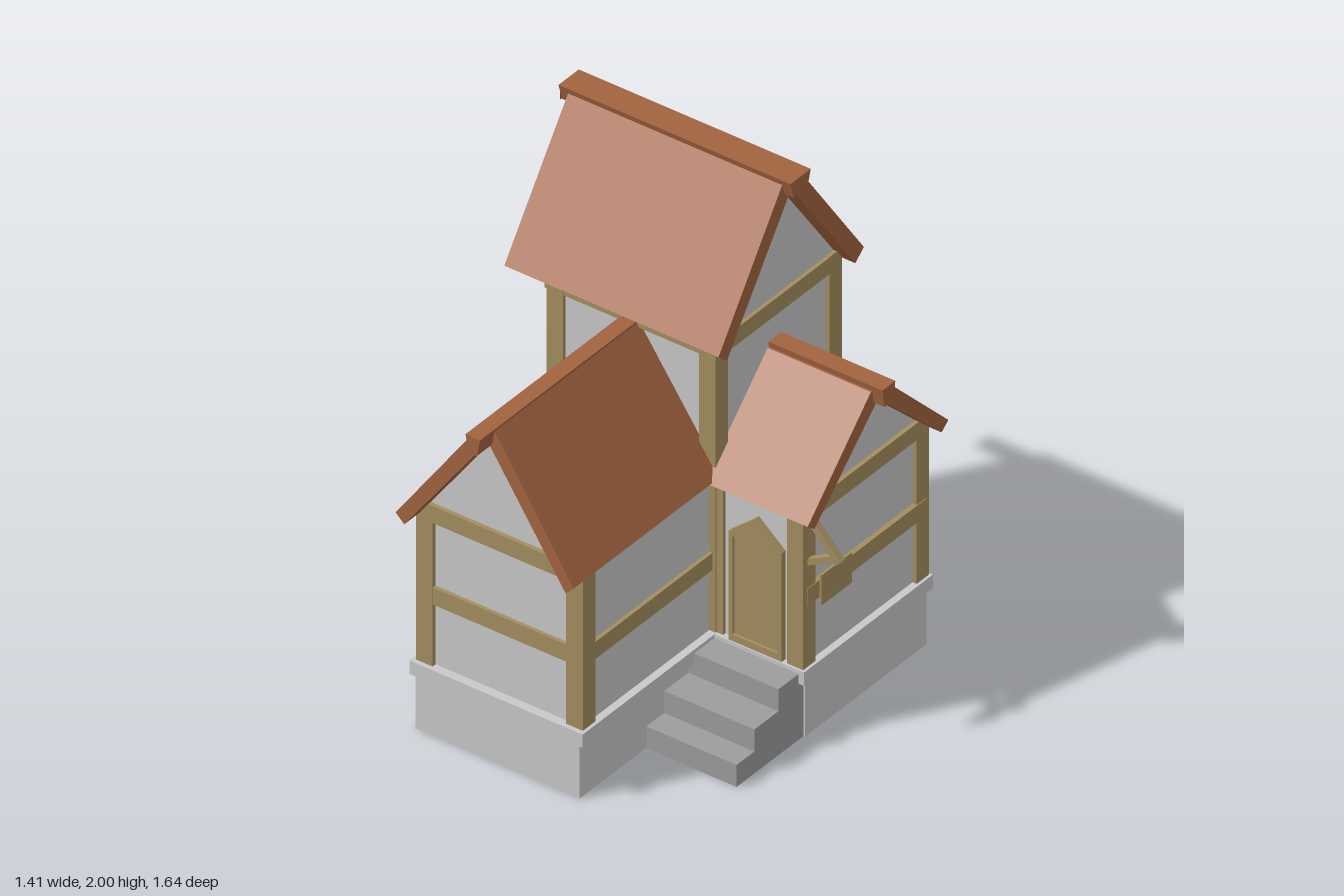
import * as THREE from 'three';

const mat = (name, color, side = THREE.FrontSide) => {
  const m = new THREE.MeshStandardMaterial({ color, side });
  m.name = name;
  return m;
};

export function createModel() {
  const house = new THREE.Group();
  house.name = 'house';
  const plaster = mat('pale plaster and stone', 0xc8c8c8);
  const stone = mat('grey step stone', 0x9c9c9c, THREE.DoubleSide);
  const wood = mat('oak timber', 0xa28d5f);
  const tile = mat('clay roof', 0xa2633e);

  const add = (name, geo, m) => {
    const mesh = new THREE.Mesh(geo, m);
    mesh.name = name;
    house.add(mesh);
    return mesh;
  };
  const box = (name, m, x0, x1, y0, y1, z0, z1) =>
    add(name, new THREE.BoxGeometry(x1 - x0, y1 - y0, z1 - z0)
      .translate((x0 + x1) / 2, (y0 + y1) / 2, (z0 + z1) / 2), m);
  const vecs = pts => pts.map(p => new THREE.Vector2(...p));
  const shapeOf = pts => new THREE.Shape(vecs(pts));
  const extrude = (shape, depth) =>
    new THREE.ExtrudeGeometry(shape, { depth, bevelEnabled: false });

  // Mirrors a half profile [u, y] about u = 0 and runs it along x or z
  const gabled = (name, m, half, axis, centre, from, to) => {
    const other = half.filter(p => p[0] > 0).reverse().map(([u, y]) => [-u, y]);
    const geo = extrude(shapeOf([...half, ...other]), to - from);
    if (axis === 'x') geo.rotateY(Math.PI / 2).translate(from, 0, centre);
    else geo.translate(centre, 0, from);
    return add(name, geo, m);
  };

  // Foundation: hollow L-shaped plinth with a projecting ledge, corners as [x, -z]
  const footprint = (x0, x1, x2, front, inner, back) => [
    [x0, -front], [x1, -front], [x1, -inner], [x2, -inner], [x2, -back], [x0, -back],
  ];
  const plinth = shapeOf(footprint(-0.524, 0.168, 0.556, 0.67, -0.078, -0.76));
  plinth.holes.push(new THREE.Path(vecs(footprint(-0.51, 0.154, 0.542, 0.656, -0.092, -0.746))));
  add('plinth', extrude(plinth, 0.23).rotateX(-Math.PI / 2), plaster);
  add('plinthLedge', extrude(shapeOf(footprint(-0.533, 0.196, 0.573, 0.69, -0.05, -0.774)), 0.055)
    .rotateX(-Math.PI / 2).translate(0, 0.23, 0), plaster);

  // Steps: a hollow shell of treads and risers between two stepped cheeks
  const [sx0, sx1] = [0.17, 0.55];
  const stepLine = [[0.298, 0], [0.298, 0.09], [0.198, 0.09], [0.198, 0.18],
    [0.063, 0.18], [0.063, 0.27], [-0.078, 0.27]];
  stepLine.slice(1).forEach(([z1, y1], i) => {
    const [z0, y0] = stepLine[i];
    const riser = z0 === z1;
    const geo = new THREE.PlaneGeometry(sx1 - sx0, riser ? y1 - y0 : z0 - z1);
    if (!riser) geo.rotateX(-Math.PI / 2);
    geo.translate((sx0 + sx1) / 2, (y0 + y1) / 2, (z0 + z1) / 2);
    add(riser ? 'stepRiser' : 'stepTread', geo, stone);
  });
  const cheek = shapeOf([...stepLine.map(([z, y]) => [-z, y]), [0.078, 0]]);
  for (const x of [sx0, sx1]) {
    add('stepCheek', new THREE.ShapeGeometry(cheek).rotateY(Math.PI / 2).translate(x, 0, 0), stone);
  }

  // Walls, roof and ridge of each of the three blocks
  const blocks = [
    { name: 'tower', axis: 'x', c: -0.412, wall: [-0.505, 0.178], w: 0.337, roof: [-0.655, 0.247],
      out: [0.408, 1.468], inn: [0.361, 1.427], apex: 1.932, top: 1.976, sh: 0.05,
      ridge: [-0.69, 0.287], rw: [0.037, 0.057], ry: [1.932, 2] },
    { name: 'frontWing', axis: 'z', c: -0.169, wall: [-0.1, 0.655], w: 0.335, roof: [-0.1, 0.735],
      out: [0.375, 0.924], inn: [0.34, 0.888], apex: 1.358, top: 1.42, sh: 0.025,
      ridge: [-0.1, 0.82], rw: [0.017, 0.031], ry: [1.355, 1.425] },
    { name: 'sideWing', axis: 'x', c: -0.412, wall: [0.1, 0.545], w: 0.335, roof: [0.15, 0.613],
      out: [0.395, 0.918], inn: [0.357, 0.888], apex: 1.223, top: 1.274, sh: 0.04,
      ridge: [0.15, 0.659], rw: [0.024, 0.036], ry: [1.223, 1.297] },
  ];
  for (const b of blocks) {
    const slope = (b.apex - b.inn[1]) / b.inn[0];
    const wallTop = b.apex + 0.012 - slope * b.w;
    gabled(b.name + 'Walls', plaster,
      [[0, 0.28], [b.w, 0.28], [b.w, wallTop], [0, b.apex + 0.012]], b.axis, b.c, ...b.wall);
    const roof = gabled(b.name + 'Roof', tile,
      [[0, b.apex], b.inn, b.out, [b.sh, b.top], [0, b.top]], b.axis, b.c, ...b.roof);
    gabled(b.name + 'Ridge', tile,
      [[0, b.ry[0]], [b.rw[0], b.ry[0]], [b.rw[1], b.ry[1]], [0, b.ry[1]]], b.axis, b.c, ...b.ridge);
    if (b.name === 'frontWing') {
      // The verge leans forward slightly towards the eaves
      const p = roof.geometry.attributes.position;
      for (let i = 0; i < p.count; i++) {
        if (p.getZ(i) > 0.5) p.setZ(i, 0.735 + 0.05 * Math.abs(p.getX(i) - b.c));
      }
      roof.geometry.computeVertexNormals();
    }
  }
  // Blunt point on the left end of the tower ridge
  add('ridgeTip', new THREE.ConeGeometry(Math.SQRT1_2, 1, 4, 1).rotateY(Math.PI / 4).toNonIndexed()
    .rotateZ(Math.PI / 2).scale(0.014, 0.064, 0.095).translate(-0.697, 1.967, -0.412), tile);

  // Corner posts: [x0, x1, top, z0, z1]
  const posts = [
    [-0.52, -0.45, 1.47, -0.13, -0.06], [0.123, 0.193, 1.47, -0.13, -0.06],
    [-0.52, -0.45, 1.47, -0.769, -0.699], [0.123, 0.193, 1.47, -0.769, -0.699],
    [-0.52, -0.45, 0.93, 0.602, 0.672], [0.113, 0.183, 0.93, 0.602, 0.672],
    [0.494, 0.562, 0.93, -0.13, -0.06], [0.494, 0.562, 0.93, -0.767, -0.697],
    [0.15, 0.221, 0.9, -0.13, -0.065],
  ];
  for (const [x0, x1, top, z0, z1] of posts) box('post', wood, x0, x1, 0.28, top, z0, z1);

  // Middle rails on every outer wall except beside the door
  const rails = (name, y0, y1, list) => {
    for (const [x0, x1, z0, z1] of list) box(name, wood, x0, x1, y0, y1, z0, z1);
  };
  rails('middleRail', 0.538, 0.608, [
    [-0.518, -0.46, -0.74, 0.65], [-0.5, 0.16, 0.61, 0.67], [0.12, 0.181, -0.08, 0.65],
    [0.5, 0.565, -0.75, -0.08], [-0.5, 0.54, -0.765, -0.71],
  ]);
  // Rails below the gables and along the tower front
  rails('gableRail', 0.874, 0.943, [[-0.517, 0.18, 0.61, 0.672], [0.5, 0.562, -0.765, -0.06]]);
  rails('towerRail', 1.4, 1.468, [
    [-0.52, -0.46, -0.769, -0.06], [0.13, 0.193, -0.769, -0.06], [-0.528, 0.19, -0.12, -0.062],
  ]);

  // Pointed door inside its frame
  const arch = (w, y0, y1, y2) => [[-w, y0], [w, y0], [w, y1], [0, y2], [-w, y1]];
  const frame = shapeOf(arch(0.112, 0.28, 0.73, 0.825));
  frame.holes.push(new THREE.Path(vecs(arch(0.095, 0.312, 0.71, 0.8))));
  add('doorFrame', extrude(frame, 0.035).translate(0.363, 0, -0.09), wood);
  add('door', extrude(shapeOf(arch(0.1, 0.3, 0.715, 0.805)), 0.016).translate(0.363, 0, -0.082), wood);

  // Hanging sign on a slanted bracket
  const bar = (name, x0, y0, x1, y1, t) => {
    const m = add(name, new THREE.BoxGeometry(Math.hypot(x1 - x0, y1 - y0), t, 0.026), wood);
    m.position.set((x0 + x1) / 2, (y0 + y1) / 2, -0.098);
    m.rotation.z = Math.atan2(y1 - y0, x1 - x0);
  };
  bar('signArm', 0.545, 0.912, 0.691, 0.759, 0.028);
  bar('signBrace', 0.55, 0.708, 0.67, 0.77, 0.024);
  box('signHanger', wood, 0.666, 0.674, 0.735, 0.775, -0.106, -0.09);
  box('signBoard', wood, 0.665, 0.675, 0.624, 0.747, -0.184, -0.013);

  return house;
}
